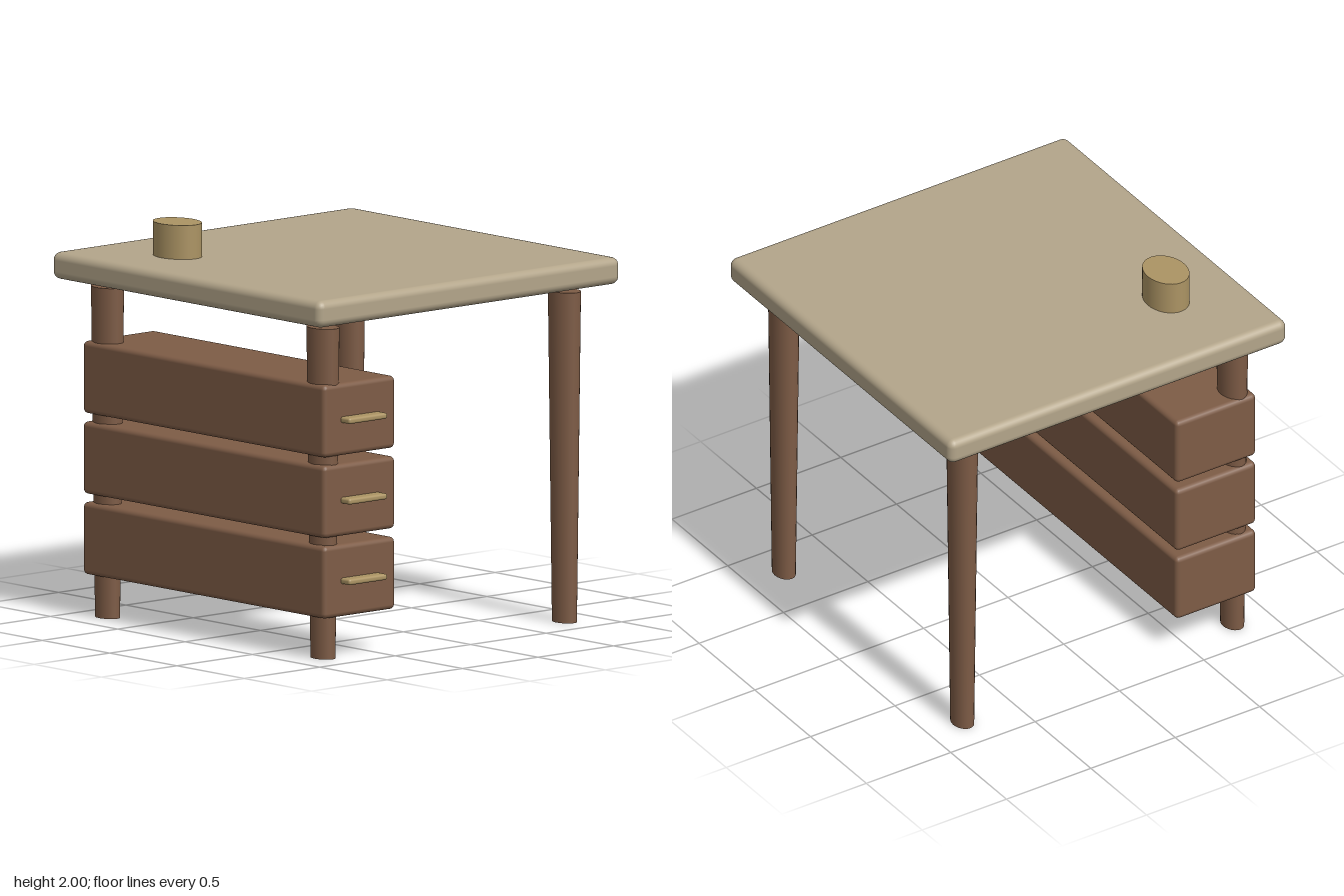
import * as THREE from 'three';
import { RoundedBoxGeometry } from 'three/addons/geometries/RoundedBoxGeometry.js';

const mat = (color) => new THREE.MeshStandardMaterial({ color });

export function createModel() {
  const group = new THREE.Group();
  const wood = mat(0x7e5c46);
  const topWood = mat(0xb3a58a);
  const brass = mat(0xac9464);

  const add = (name, geometry, material, x, y, z) => {
    const mesh = new THREE.Mesh(geometry, material);
    mesh.name = name;
    mesh.position.set(x, y, z);
    group.add(mesh);
    return mesh;
  };

  // Tabletop with softened edges
  add('tabletop', new RoundedBoxGeometry(2, 0.135, 2, 3, 0.04), topWood, 0, 1.762, 0);

  // Four tapered legs, oval in section
  const legGeometry = new THREE.CylinderGeometry(0.07, 0.053, 1.66, 24);
  legGeometry.scale(1, 1, 1.36);
  for (const x of [-0.8, 0.8]) {
    for (const z of [-0.8, 0.8]) {
      const name = (z > 0 ? 'front' : 'back') + (x > 0 ? 'Left' : 'Right') + 'Leg';
      add(name, legGeometry, wood, x, 0.83, z);
    }
  }

  // Stack of three drawers, each with a bar handle
  const drawerGeometry = new RoundedBoxGeometry(0.475, 0.363, 1.8, 2, 0.025);
  const handleGeometry = new RoundedBoxGeometry(0.255, 0.03, 0.08, 3, 0.012);
  for (let i = 0; i < 3; i++) {
    const y = 0.393 + i * 0.404;
    add('drawer' + (i + 1), drawerGeometry, wood, -0.643, y, 0);
    add('drawerHandle' + (i + 1), handleGeometry, brass, -0.643, y, 0.924);
  }

  // Oval pot standing on the tabletop
  const potGeometry = new THREE.CylinderGeometry(0.107, 0.107, 0.18, 32);
  potGeometry.scale(1, 1, 1.29);
  add('pot', potGeometry, brass, -0.605, 1.91, -0.5);

  return group;
}
